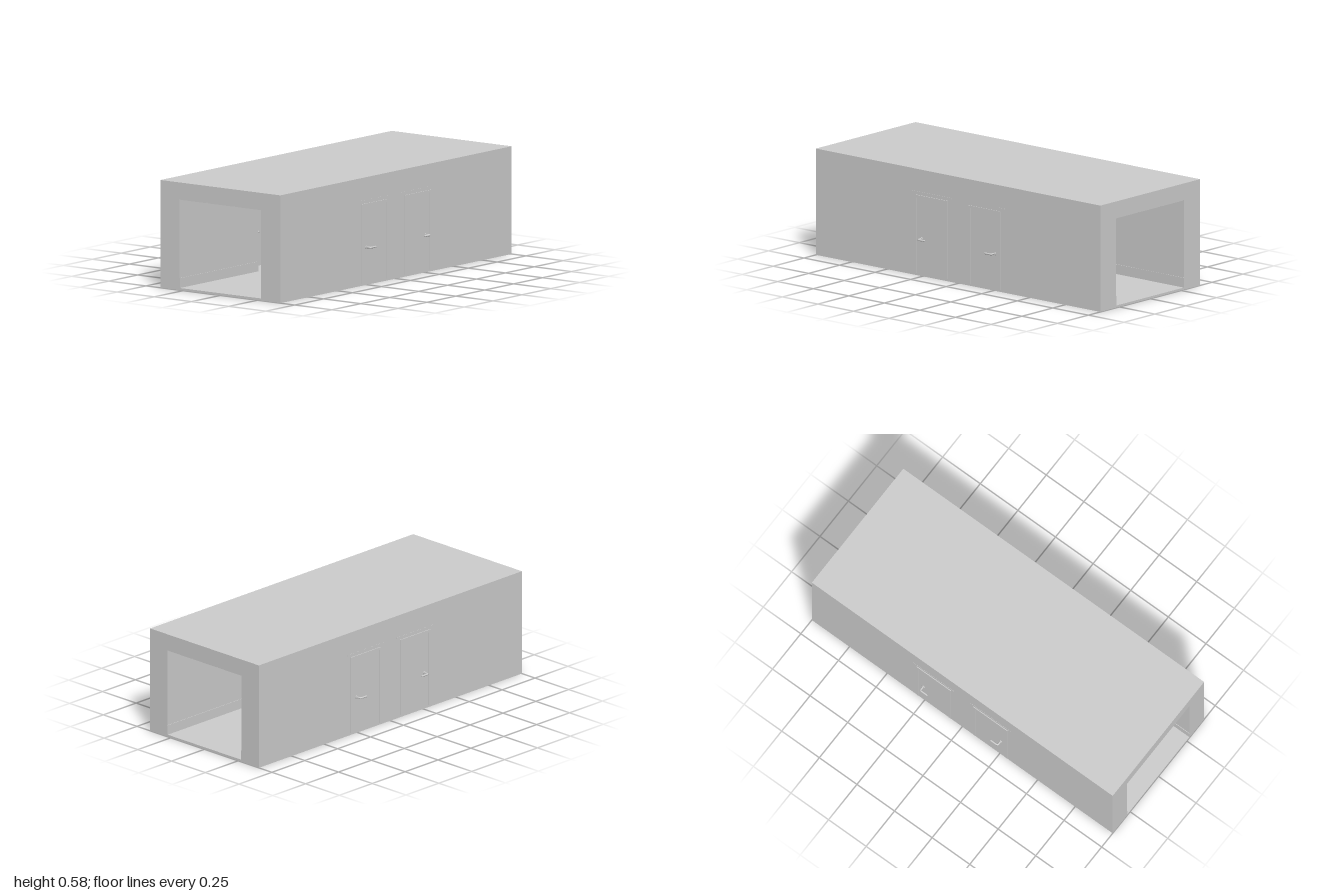
import * as THREE from 'three';

const mat = new THREE.MeshStandardMaterial({ color: 0xcccccc });
const OUT = 0.403, INNER = 0.275, SKIN = 0.385;
const FLOOR = 0.012, CEIL = 0.49, TOP = 0.58;
const DOOR_Z = 0.188, NICHE = 0.132, NICHE_TOP = 0.455;

function add(parent, name, geometry) {
  const mesh = new THREE.Mesh(geometry, mat);
  mesh.name = name;
  parent.add(mesh);
  return mesh;
}

// Box given by its minimum and maximum on each axis
function box(parent, name, x0, x1, y0, y1, z0, z1) {
  const g = new THREE.BoxGeometry(x1 - x0, y1 - y0, z1 - z0);
  g.translate((x0 + x1) / 2, (y0 + y1) / 2, (z0 + z1) / 2);
  return add(parent, name, g);
}

// Thick inner wall with two door niches open at the floor
function innerWall(parent) {
  const s = new THREE.Shape();
  s.moveTo(-1, FLOOR);
  for (const c of [-DOOR_Z, DOOR_Z]) {
    s.lineTo(c - NICHE, FLOOR);
    s.lineTo(c - NICHE, NICHE_TOP);
    s.lineTo(c + NICHE, NICHE_TOP);
    s.lineTo(c + NICHE, FLOOR);
  }
  s.lineTo(1, FLOOR);
  s.lineTo(1, CEIL);
  s.lineTo(-1, CEIL);
  const g = new THREE.ExtrudeGeometry(s, { depth: SKIN - INNER, bevelEnabled: false });
  g.rotateY(Math.PI / 2).translate(INNER, 0, 0);
  add(parent, 'innerWall', g);
}

// Lever handle: dir = 1 points outdoors, -1 indoors; sign is the door's side in z
function handle(parent, x, dir, sign) {
  const p = (dx, z) => new THREE.Vector3(x + dir * dx, 0.203, sign * z);
  const path = new THREE.CurvePath();
  path.add(new THREE.LineCurve3(p(0, 0.257), p(0.02, 0.257)));
  path.add(new THREE.QuadraticBezierCurve3(p(0.02, 0.257), p(0.028, 0.257), p(0.028, 0.249)));
  path.add(new THREE.LineCurve3(p(0.028, 0.249), p(0.028, 0.213)));
  add(parent, 'doorHandle', new THREE.TubeGeometry(path, 24, 0.005, 10));
  const cap = new THREE.SphereGeometry(0.005, 10, 8);
  const end = p(0.028, 0.213);
  add(parent, 'handleEnd', cap.translate(end.x, end.y, end.z));
  const rose = new THREE.CylinderGeometry(0.01, 0.01, 0.006, 16).rotateZ(Math.PI / 2);
  add(parent, 'handleRose', rose.translate(x + dir * 0.002, 0.203, sign * 0.257));
}

function door(parent, sign) {
  const g = new THREE.Group();
  g.name = 'door';
  parent.add(g);
  const c = sign * DOOR_Z, half = 0.1, w = 0.014, h = 0.425;
  box(g, 'doorLeaf', 0.381, 0.4045, 0.014, h, c - half, c + half);
  for (const s of [-1, 1]) {
    const a = c + s * half, b = c + s * (half + w);
    box(g, 'doorJamb', 0.376, 0.4075, FLOOR, h + w, Math.min(a, b), Math.max(a, b));
  }
  box(g, 'doorHeader', 0.376, 0.4075, h, h + w, c - half, c + half);
  box(g, 'nicheHeader', 0.37, 0.404, NICHE_TOP - 0.004, NICHE_TOP + 0.003, c - 0.14, c + 0.14);
  handle(g, 0.4045, 1, sign);
  handle(g, 0.381, -1, sign);
}

function side() {
  const g = new THREE.Group();
  box(g, 'outerWall', SKIN, OUT, FLOOR, CEIL, -1, 1);
  innerWall(g);
  // Skirting between the niches
  const lo = DOOR_Z - NICHE, hi = DOOR_Z + NICHE;
  for (const [a, b] of [[-1, -hi], [-lo, lo], [hi, 1]])
    box(g, 'skirting', INNER - 0.003, INNER + 0.002, FLOOR, 0.065, a, b);
  for (const s of [-1, 1]) door(g, s);
  return g;
}

export function createModel() {
  const model = new THREE.Group();
  model.name = 'corridor';
  box(model, 'floor', -OUT, OUT, 0, FLOOR, -1, 1);
  box(model, 'roof', -OUT, OUT, CEIL, TOP, -1, 1);

  // Both long sides
  for (const [name, turn] of [['leftSide', 0], ['rightSide', Math.PI]]) {
    const s = side();
    s.name = name;
    s.rotation.y = turn;
    model.add(s);
  }

  // Ceiling panels with open joints
  const tiles = new THREE.Group();
  tiles.name = 'ceilingPanels';
  model.add(tiles);
  const w = 2 * INNER / 3, d = 0.25, gap = 0.004;
  for (let i = 0; i < 3; i++) {
    for (let j = 0; j < 8; j++) {
      const x = -INNER + i * w, z = -1 + j * d;
      box(tiles, 'ceilingPanel', x + gap, x + w - gap, CEIL - 0.004, CEIL + 0.001, z + gap, z + d - gap);
    }
  }
  return model;
}
